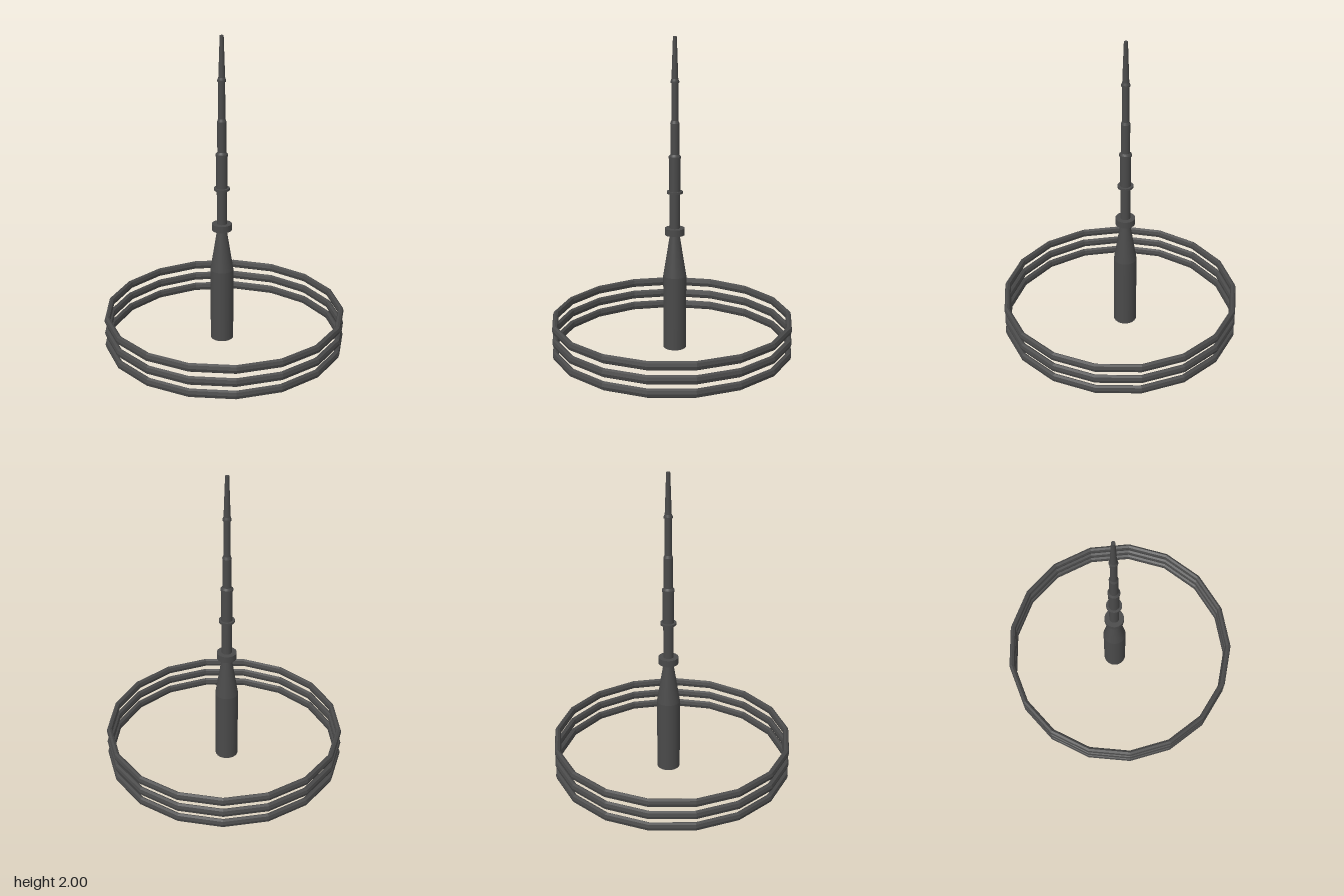
import * as THREE from 'three';

export function createModel() {
  const model = new THREE.Group();
  const darkMetal = new THREE.MeshStandardMaterial({ color: 0x4a4a4a });
  darkMetal.name = 'darkMetal';

  // Three stacked 17-sided rings with a tall oval tube section
  const ringGeometry = new THREE.TorusGeometry(0.759, 0.019, 8, 17)
    .rotateX(Math.PI / 2)
    .scale(1, 1.53, 1)
    .toNonIndexed();
  ringGeometry.computeVertexNormals();
  [0.03, 0.113, 0.2].forEach((y, i) => {
    const ring = new THREE.Mesh(ringGeometry, darkMetal);
    ring.name = 'ring' + (i + 1);
    ring.position.set(-0.007, y, 0);
    model.add(ring);
  });

  // Mast, slightly off the ring centre
  const mast = new THREE.Group();
  mast.name = 'mast';
  mast.position.set(-0.01, 0, -0.033);
  model.add(mast);

  // name, bottom y, top y, bottom radius, top radius
  const sections = [
    ['base', 0, 0.485, 0.074, 0.074],
    ['baseCone', 0.485, 0.76, 0.074, 0.03],
    ['collar', 0.757, 0.8, 0.063, 0.063],
    ['lowerPole', 0.8, 1.03, 0.032, 0.032],
    ['thinCollar', 1.026, 1.04, 0.05, 0.05],
    ['middlePole', 1.04, 1.25, 0.035, 0.035],
    ['middleLip', 1.25, 1.262, 0.039, 0.039],
    ['middleTaper', 1.262, 1.275, 0.036, 0.028],
    ['upperPole', 1.27, 1.47, 0.028, 0.028],
    ['upperTaper', 1.47, 1.487, 0.029, 0.022],
    ['topPole', 1.48, 1.72, 0.022, 0.021],
    ['topLip', 1.72, 1.73, 0.027, 0.027],
    ['topTaper', 1.73, 1.745, 0.026, 0.021],
    ['tip', 1.74, 2, 0.021, 0.012],
  ];
  for (const [name, y0, y1, r0, r1] of sections) {
    const part = new THREE.Mesh(new THREE.CylinderGeometry(r1, r0, y1 - y0, 32), darkMetal);
    part.name = name;
    part.position.y = (y0 + y1) / 2;
    mast.add(part);
  }
  return model;
}
